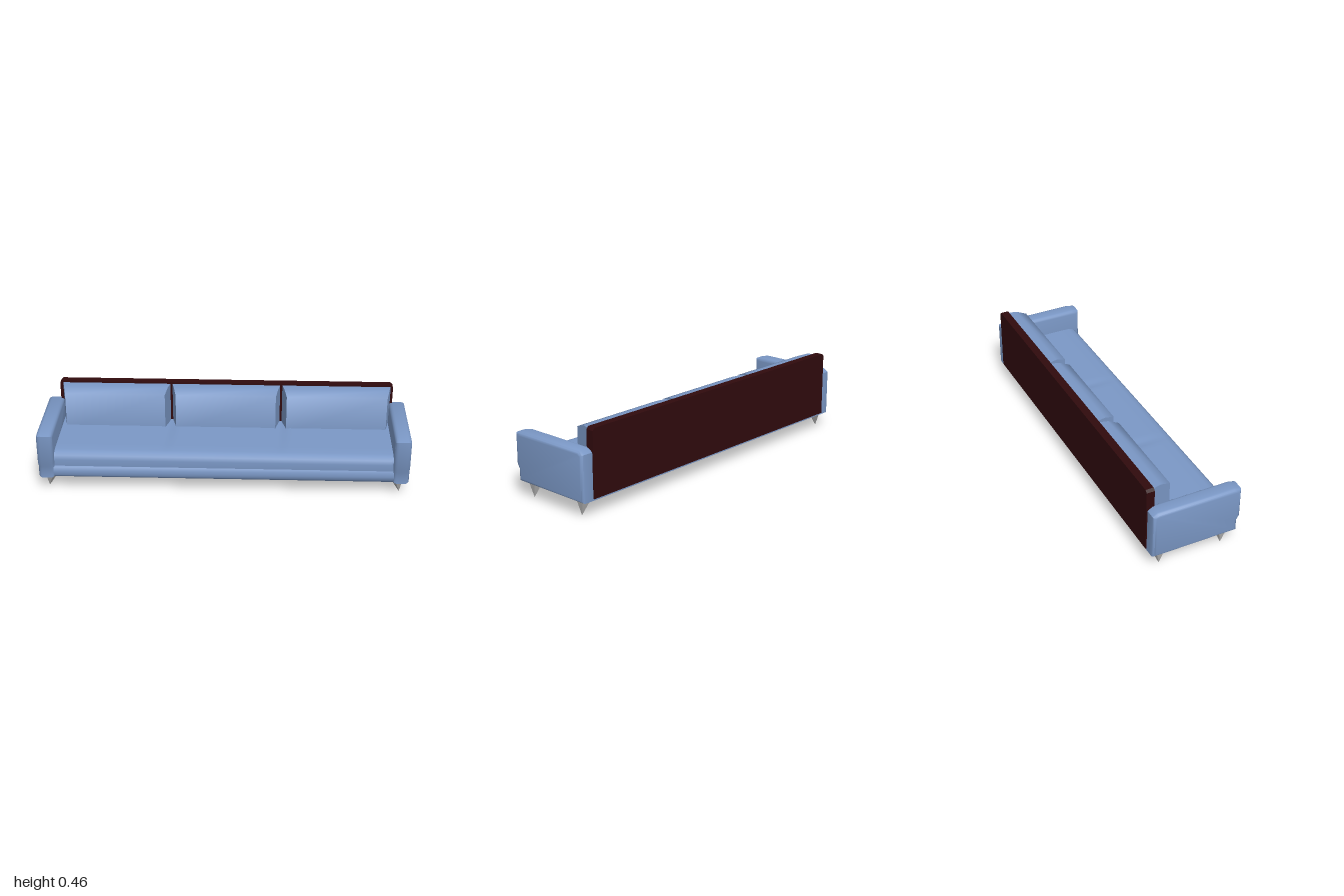
import * as THREE from 'three';
import { toCreasedNormals } from 'three/addons/utils/BufferGeometryUtils.js';

// Extrude a side profile of [z, y] points along x, from x0 to x1
function prism(points, x0, x1, options = {}) {
  const shape = new THREE.Shape(points.map(([z, y]) => new THREE.Vector2(z, y)));
  const bevel = options.bevelThickness || 0;
  const geo = new THREE.ExtrudeGeometry(shape, {
    depth: x1 - x0 - 2 * bevel, bevelEnabled: false, ...options,
  });
  return geo.rotateY(-Math.PI / 2).translate(x1 - bevel, 0, 0);
}

// Move every vertex by a rule
function reshape(geo, rule) {
  const pos = geo.attributes.position;
  const v = new THREE.Vector3();
  for (let i = 0; i < pos.count; i++) {
    rule(v.fromBufferAttribute(pos, i));
    pos.setXYZ(i, v.x, v.y, v.z);
  }
  return geo;
}

export function createModel() {
  const sofa = new THREE.Group();
  sofa.name = 'sofa';
  const fabric = new THREE.MeshStandardMaterial({ color: 0x7b98c6 });
  fabric.name = 'blue fabric';
  const wood = new THREE.MeshStandardMaterial({ color: 0x300a0d });
  wood.name = 'dark wood';
  const metal = new THREE.MeshStandardMaterial({ color: 0xb0b0b0, flatShading: true });
  metal.name = 'grey metal';

  const add = (name, geo, material, crease) => {
    const mesh = new THREE.Mesh(crease ? toCreasedNormals(geo, crease) : geo, material);
    mesh.name = name;
    sofa.add(mesh);
  };

  // Base frame with a softened front edge
  add('base', prism([
    [-0.243, 0.083], [0.215, 0.083], [0.228, 0.098], [0.23, 0.12],
    [0.228, 0.145], [0.215, 0.16], [-0.243, 0.16],
  ], -0.965, 0.965), fabric, 0.9);

  // Long seat, with creases that fade towards the front
  const seat = prism([
    [-0.205, 0.15], [0.222, 0.15], [0.226, 0.19], [0.222, 0.215], [0.205, 0.229], [0.18, 0.234],
    [0.12, 0.235], [0.04, 0.235], [-0.04, 0.235], [-0.12, 0.235], [-0.205, 0.235],
  ], -0.92, 0.92, { steps: 92 });
  reshape(seat, (v) => {
    if (v.y < 0.2) return;
    const near = Math.max(0, 1 - Math.abs(Math.abs(v.x) - 0.31) / 0.04);
    const fade = THREE.MathUtils.clamp((0.19 - v.z) / 0.3, 0, 1);
    v.y -= 0.013 * near * fade;
  });
  add('seat', seat, fabric, 0.9);

  // Three back cushions, narrowing towards the front
  for (const cx of [-0.612, 0.002, 0.616]) {
    const cushion = prism([
      [-0.205, 0.21], [-0.1, 0.21], [-0.1, 0.427], [-0.157, 0.448], [-0.205, 0.448],
    ], cx - 0.301, cx + 0.301);
    reshape(cushion, (v) => {
      v.x = cx + (v.x - cx) * (1 - 0.08 * (v.z + 0.205) / 0.105);
    });
    add('backCushion', cushion, fabric, 1.23);
  }

  // Wooden back panel with clipped upper corners
  const panel = new THREE.Shape([
    [-0.93, 0.093], [0.93, 0.093], [0.93, 0.445], [0.917, 0.458], [-0.917, 0.458], [-0.93, 0.445],
  ].map(([x, y]) => new THREE.Vector2(x, y)));
  add('backPanel', new THREE.ExtrudeGeometry(panel, { depth: 0.044, bevelEnabled: false })
    .translate(0, 0, -0.249), wood);

  for (const side of [-1, 1]) {
    // Rounded arm
    const inner = side * 0.912;
    add('arm', prism([
      [0.235, 0.083], [0.235, 0.15], [0.25, 0.175], [0.25, 0.342],
      [0.21, 0.352], [-0.215, 0.352], [-0.243, 0.335], [-0.243, 0.083],
    ], Math.min(inner, side), Math.max(inner, side), {
      bevelEnabled: true, bevelSize: 0.018, bevelThickness: 0.02, bevelOffset: -0.018, bevelSegments: 3,
    }), fabric, 0.9);

    // Five-sided pointed legs, leaning slightly outwards
    for (const [z, tipZ] of [[0.17, 0.167], [-0.186, -0.187]]) {
      const leg = new THREE.ConeGeometry(0.039, 0.086, 5)
        .rotateX(Math.PI)
        .rotateY(-side * Math.PI / 2)
        .translate(side * 0.944, 0.043, z);
      reshape(leg, (v) => {
        const t = 1 - v.y / 0.086;
        v.x += side * 0.013 * t;
        v.z += (tipZ - z) * t;
      });
      // The flip turns the pentagon, so its point faces the middle of the sofa
      reshape(leg, (v) => {
        if (v.y > 0.05) v.x = side * 0.94 - (v.x - side * 0.944);
      });
      leg.setIndex(Array.from(leg.index.array).reverse());
      add('leg', leg, metal);
    }
  }
  return sofa;
}
